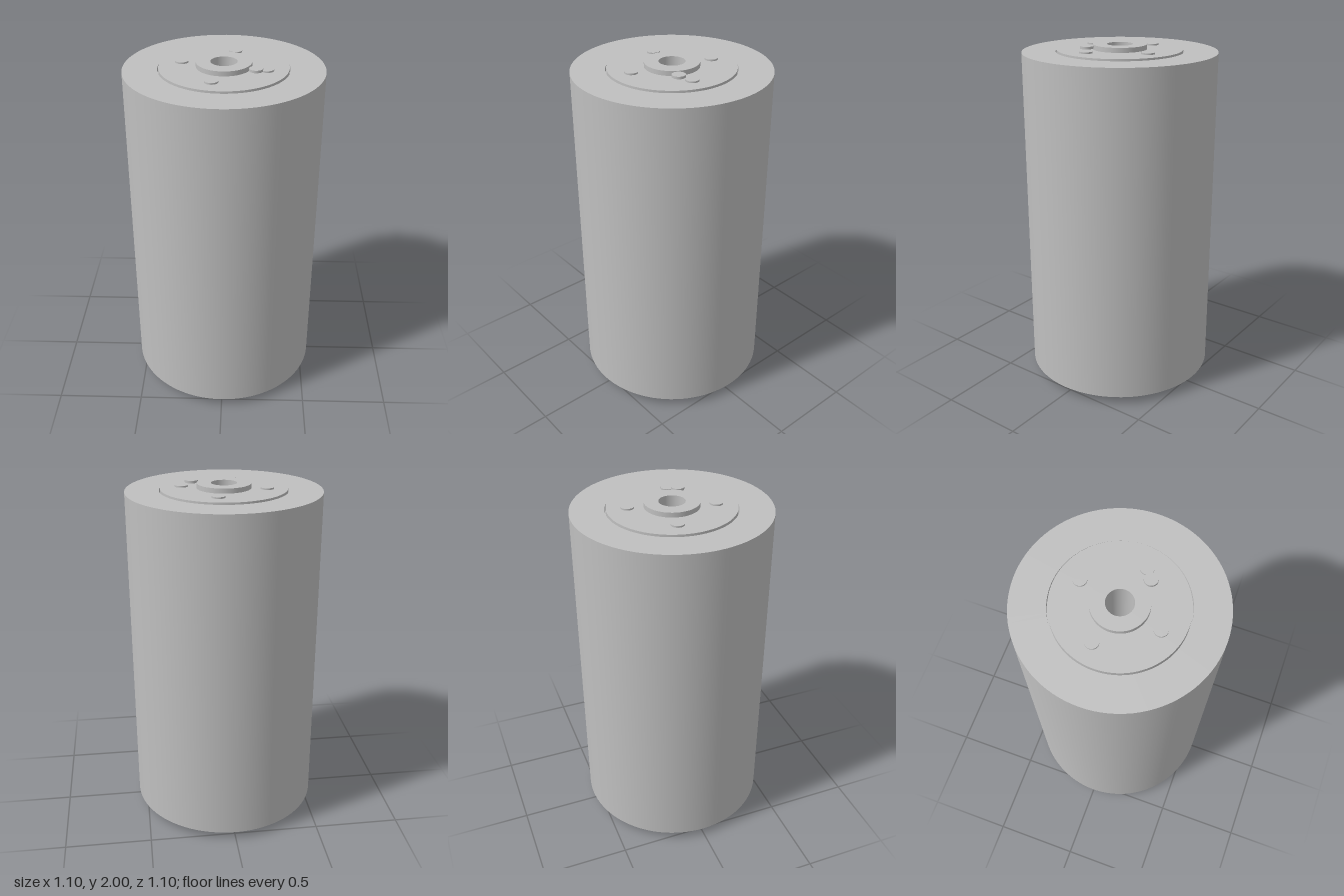
import * as THREE from 'three';

const metal = new THREE.MeshStandardMaterial({ color: 0xbfbfbf });
metal.name = 'plain grey';

// Ring-shaped solid turned from straight segments, each with its own hard edges
function turned(name, profile, segments = 96) {
  const group = new THREE.Group();
  group.name = name;
  for (let i = 0; i < profile.length - 1; i++) {
    const pts = [profile[i], profile[i + 1]].map(([r, y]) => new THREE.Vector2(r, y));
    const mesh = new THREE.Mesh(new THREE.LatheGeometry(pts, segments), metal);
    mesh.name = name + 'Face' + (i + 1);
    group.add(mesh);
  }
  return group;
}

function disc(name, radius, y0, y1, x, z) {
  const mesh = new THREE.Mesh(new THREE.CylinderGeometry(radius, radius, y1 - y0, 32), metal);
  mesh.name = name;
  mesh.position.set(x, (y0 + y1) / 2, z);
  return mesh;
}

export function createModel() {
  const model = new THREE.Group();
  model.name = 'roller';

  const bore = 0.073, hub = 0.152, flange = 0.354, seat = 0.36, outer = 0.55;
  const bottom = 0.047, top = 1.963;

  // Drum, end flanges, hubs and through bore, with a fine groove round each flange
  model.add(turned('drum', [
    [bore, 0.012], [hub, 0.012], [hub, 0.037], [flange, 0.037], [flange, 0.075],
    [seat, 0.075], [seat, bottom], [outer, bottom], [outer, top], [seat, top],
    [seat, 1.935], [flange, 1.935], [flange, 1.973], [hub, 1.973], [hub, 2.0],
    [bore, 2.0], [bore, 0.012],
  ]));

  // Four bolts on each end
  for (let i = 0; i < 4; i++) {
    const a = THREE.MathUtils.degToRad(14.3 + 90 * i);
    const x = 0.239 * Math.cos(a), z = 0.239 * Math.sin(a);
    model.add(disc('topBolt', 0.037, 1.965, 1.982, x, z));
    model.add(disc('bottomBolt', 0.037, 0.028, 0.045, x, z));
  }

  // Locating disc standing off each end beside the hub
  model.add(disc('topLocatingDisc', 0.037, 1.986, 2.0, 0.172, 0.1));
  model.add(disc('bottomLocatingDisc', 0.037, 0, 0.02, 0.172, 0.1));
  return model;
}
